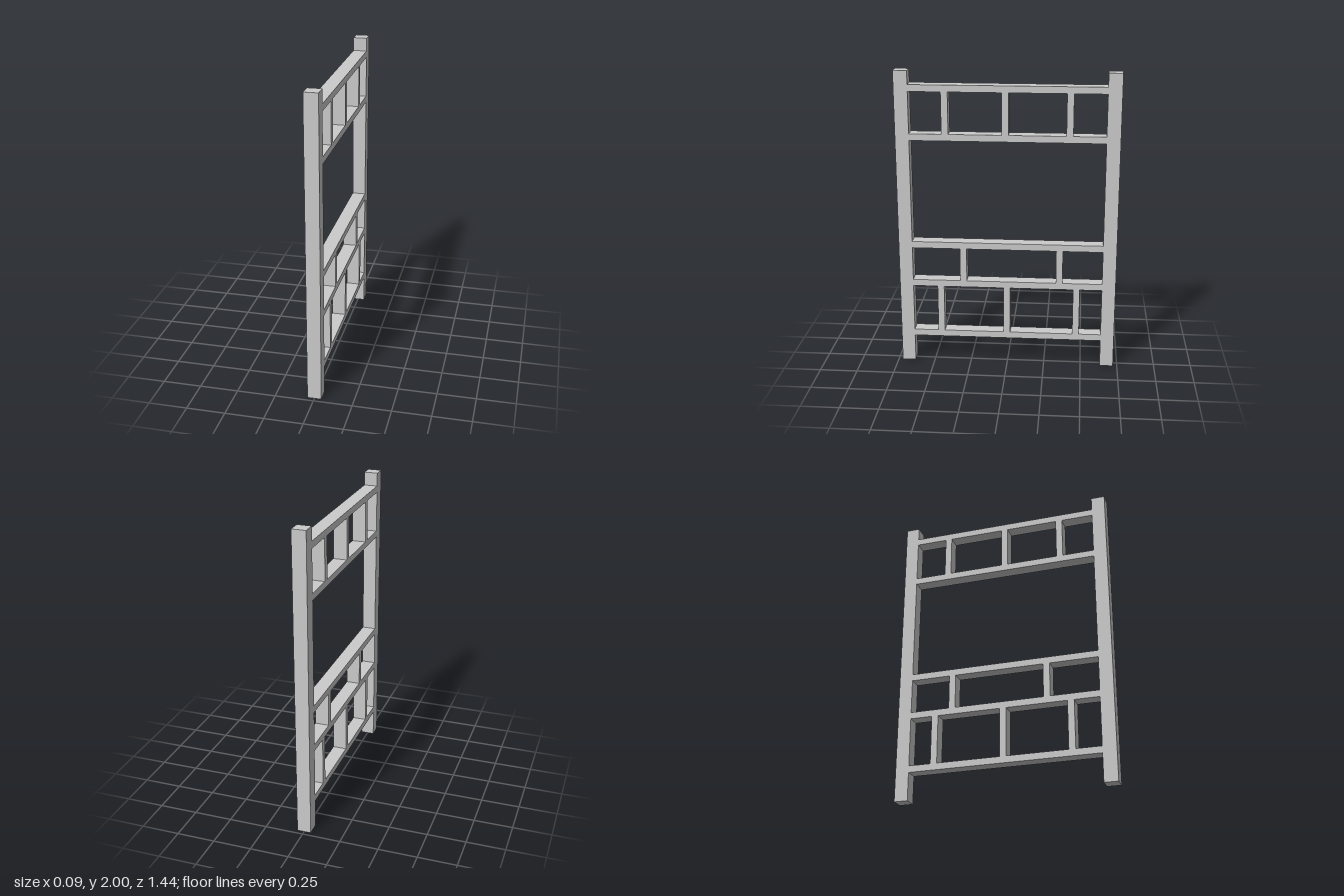
import * as THREE from 'three';

const DEPTH = 0.09; // thickness along x, shared by every bar
const BAR = 0.044; // face width of rails and struts
const POST_Z = 0.677;
const POST_W = 0.09;

export function createModel() {
  const model = new THREE.Group();
  model.name = 'ladderFrame';
  const material = new THREE.MeshStandardMaterial({ color: 0xcccccc, flatShading: true });

  const addBar = (name, height, length, y, z) => {
    const bar = new THREE.Mesh(new THREE.BoxGeometry(DEPTH, height, length), material);
    bar.name = name;
    bar.position.set(0, y, z);
    model.add(bar);
  };

  // Two full-height posts
  addBar('frontPost', 2, POST_W, 1, POST_Z);
  addBar('backPost', 2, POST_W, 1, -POST_Z);

  // Horizontal rails between the posts
  const rails = [0.207, 0.572, 0.842, 1.573, 1.89];
  rails.forEach((y, i) => addBar(`rail${i + 1}`, BAR, 2 * POST_Z - POST_W, y, 0));

  // Short upright struts, each row spanning two rails
  const rows = [
    { name: 'lowerStrut', from: 0, to: 1, z: [0.446, 0.001, -0.463] },
    { name: 'middleStrut', from: 1, to: 2, z: [0.292, -0.347] },
    { name: 'upperStrut', from: 3, to: 4, z: [0.4, 0.013, -0.4] },
  ];
  for (const row of rows) {
    const a = rails[row.from], b = rails[row.to];
    row.z.forEach((z, i) => addBar(`${row.name}${i + 1}`, b - a - BAR, BAR, (a + b) / 2, z));
  }

  return model;
}
